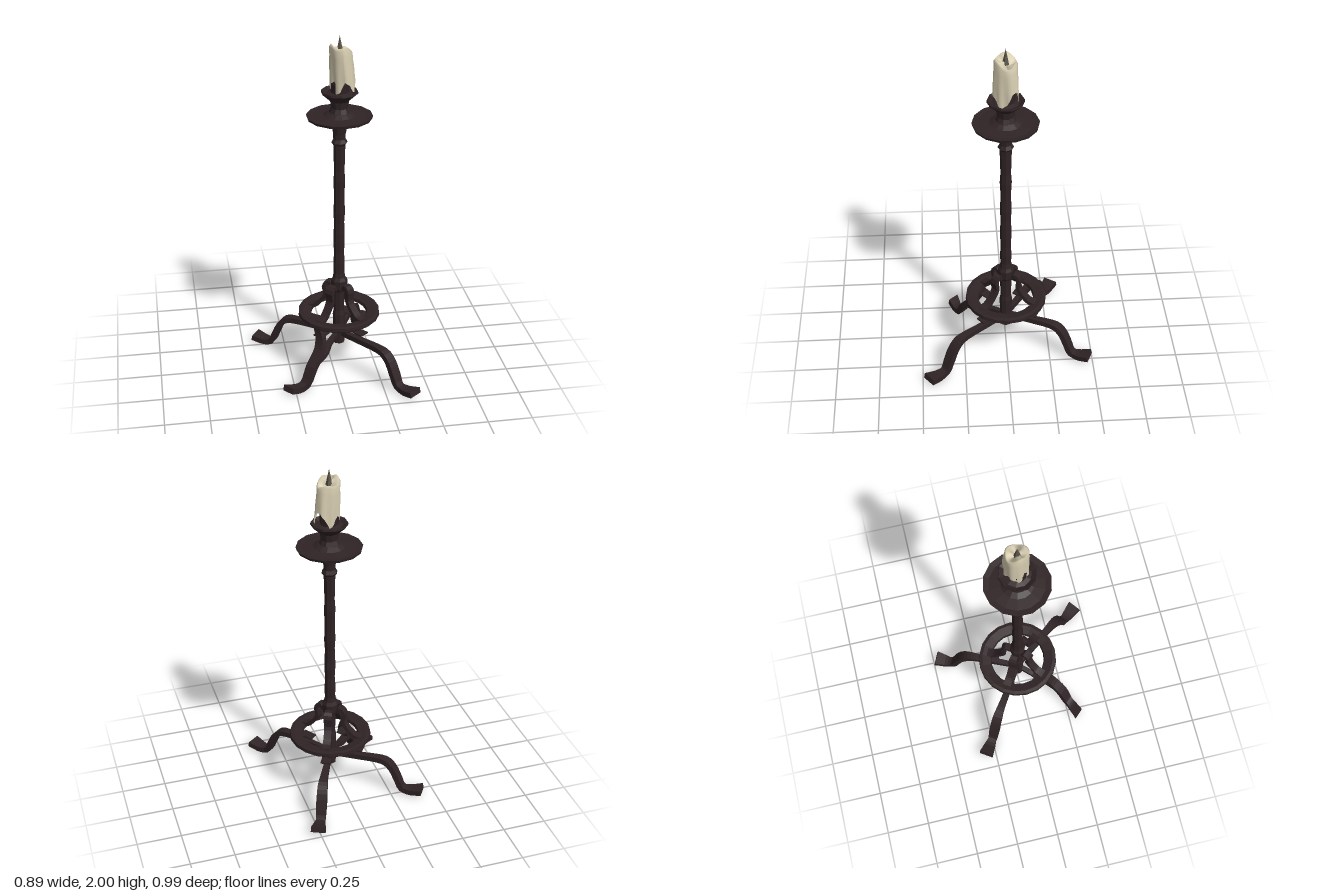
import * as THREE from 'three';

const CX = 0.045; // axis of the stand

export function createModel() {
  const model = new THREE.Group();
  model.name = 'candlestick';
  const iron = new THREE.MeshStandardMaterial({ color: 0x2f2325, flatShading: true, side: THREE.DoubleSide });
  iron.name = 'dark iron';
  const wax = new THREE.MeshStandardMaterial({ color: 0xd6ccb0, side: THREE.DoubleSide });
  wax.name = 'cream wax';
  const wickMat = new THREE.MeshStandardMaterial({ color: 0x5a5448, flatShading: true });
  wickMat.name = 'burnt wick';

  const add = (name, geometry, material = iron) => {
    const mesh = new THREE.Mesh(geometry, material);
    mesh.name = name;
    model.add(mesh);
    return mesh;
  };
  const turned = (name, profile, sides) => {
    const g = new THREE.LatheGeometry(profile.map(([r, y]) => new THREE.Vector2(r, y)), sides);
    return add(name, g.translate(CX, 0, 0));
  };

  // Hammered flat bar swept along a path; widths are spread along its length
  const bar = (name, points, widths, thick, steps = 16) => {
    const curve = new THREE.CatmullRomCurve3(points.map((p) => new THREE.Vector3(...p)), false, 'centripetal');
    const first = curve.points[0], last = curve.points[points.length - 1];
    const side = new THREE.Vector3(last.x - first.x, 0, last.z - first.z).normalize().cross(new THREE.Vector3(0, 1, 0));
    const pos = [], index = [];
    for (let i = 0; i <= steps; i++) {
      const t = i / steps;
      const p = curve.getPoint(t);
      const n = side.clone().cross(curve.getTangent(t)).normalize();
      const f = t * (widths.length - 1), k = Math.min(Math.floor(f), widths.length - 2);
      const w = THREE.MathUtils.lerp(widths[k], widths[k + 1], f - k) / 2;
      for (const [a, b] of [[1, 1], [1, -1], [-1, -1], [-1, 1]]) {
        const v = p.clone().addScaledVector(side, a * w).addScaledVector(n, b * thick / 2);
        pos.push(v.x, v.y, v.z);
      }
      if (i === steps) break;
      for (let j = 0; j < 4; j++) {
        const a = i * 4 + j, b = i * 4 + (j + 1) % 4;
        index.push(a, b, b + 4, a, b + 4, a + 4);
      }
    }
    const e = steps * 4;
    index.push(0, 3, 2, 0, 2, 1, e, e + 1, e + 2, e, e + 2, e + 3);
    const g = new THREE.BufferGeometry();
    g.setAttribute('position', new THREE.Float32BufferAttribute(pos, 3));
    g.setIndex(index);
    g.computeVertexNormals();
    return add(name, g);
  };

  // Three arched legs
  const legProfile = [[0, 0.205], [0.3, 0.21], [0.52, 0.213], [0.61, 0.203], [0.68, 0.165], [0.74, 0.095], [0.79, 0.035], [0.87, 0.025], [1, 0.042]];
  for (const [x, z] of [[0.265, -0.48], [-0.42, -0.31], [0.405, 0.465]]) {
    bar('leg', legProfile.map(([f, y]) => [CX + (x - CX) * f, y, z * f]), [0.025, 0.04, 0.055, 0.06, 0.05, 0.085], 0.032, 20);
  }
  // Bent fourth leg hanging from the ring, with its brace
  bar('bentLeg', [[-0.1, 0.34, 0.13], [-0.085, 0.27, 0.15], [-0.095, 0.2, 0.18], [-0.15, 0.12, 0.235], [-0.19, 0.035, 0.265], [-0.23, 0.022, 0.285], [-0.295, 0.035, 0.31]],
    [0.045, 0.055, 0.06, 0.05, 0.07], 0.035, 18);
  bar('bentLegBrace', [[CX, 0.205, 0], [-0.02, 0.185, 0.08], [-0.06, 0.15, 0.14], [-0.13, 0.14, 0.215]], [0.025, 0.035, 0.05], 0.025, 8);

  // Lower post and flat ring
  turned('lowerPost', [[0, 0.14], [0.034, 0.14], [0.036, 0.33], [0.03, 0.36]], 8);
  turned('baseRing', [[0.225, 0.325], [0.236, 0.335], [0.234, 0.355], [0.215, 0.358], [0.165, 0.348], [0.16, 0.33], [0.225, 0.325]], 20);

  // Scroll struts from the collar to the ring, and small plates below
  for (const [x, z] of [[0.42, -0.9], [-0.83, -0.56], [-0.73, 0.68], [0.62, 0.78]]) {
    const path = [[0.04, 0.5], [0.062, 0.525], [0.086, 0.5], [0.08, 0.44], [0.11, 0.39], [0.145, 0.355], [0.185, 0.345]];
    bar('strut', path.map(([r, y]) => [CX + x * r, y, z * r]), [0.035, 0.05, 0.042, 0.05], 0.022, 14);
    bar('underPlate', [[CX + x * 0.12, 0.26, z * 0.12], [CX + x * 0.2, 0.262, z * 0.2]], [0.05, 0.06], 0.008, 2);
  }

  // Column with a slightly hammered outline
  const column = [[0.03, 0.34], [0.034, 0.48], [0.044, 0.5], [0.046, 0.55], [0.036, 0.57]];
  for (let i = 0; i <= 12; i++) column.push([0.031 + 0.0025 * Math.sin(i * 2.3), 0.6 + i * 0.063]);
  column.push([0.034, 1.385], [0.045, 1.4], [0.034, 1.42], [0.035, 1.45]);
  turned('column', column, 8);

  // Drip dish and candle cup
  turned('dripDish', [[0.035, 1.45], [0.042, 1.49], [0.06, 1.515], [0.12, 1.53], [0.178, 1.542], [0.182, 1.556], [0.15, 1.552], [0.09, 1.558], [0.06, 1.575], [0, 1.575]], 14);
  turned('candleCup', [[0.06, 1.57], [0.047, 1.6], [0.052, 1.64], [0.085, 1.67], [0.102, 1.685], [0.1, 1.696], [0.075, 1.682], [0.05, 1.69], [0.052, 1.74], [0.04, 1.78], [0, 1.78]], 10);

  // Wax with an uneven rim and dripping lower edge
  const drips = [1.76, 1.74, 1.70, 1.69, 1.71, 1.77, 1.78, 1.74, 1.69, 1.71, 1.75, 1.72, 1.69, 1.73, 1.69, 1.70];
  const rows = [[0.068, 0], [0.066, 0.25], [0.066, 0.5], [0.062, 0.75], [0.062, 0.94], [0.054, 1], [0.04, 0.93], [0, 0.9]];
  const body = new THREE.LatheGeometry(rows.map(([r, y]) => new THREE.Vector2(r, y)), 32);
  const p = body.attributes.position;
  for (let i = 0; i < p.count; i++) {
    const a = Math.floor(i / rows.length) % 32;
    const phi = a / 32 * Math.PI * 2;
    const low = (drips[a >> 1] + drips[((a + 1) >> 1) % 16]) / 2;
    const high = 1.935 - 0.018 * Math.sin(phi - 0.6) + 0.008 * Math.sin(3 * phi);
    const t = p.getY(i);
    const swell = 1 + 0.06 * Math.sin(3 * phi + 1 + t) + (1 - t) * 0.07 * Math.sin(8 * phi);
    const lean = 0.012 * (1 - Math.min(t, 1));
    p.setXYZ(i, CX + 0.006 + lean + p.getX(i) * swell, low + (high - low) * t, p.getZ(i) * swell - 0.003);
  }
  body.computeVertexNormals();
  add('candle', body, wax);

  // Wick
  add('wick', new THREE.ConeGeometry(0.02, 0.09, 5).translate(CX, 1.955, 0), wickMat);

  return model;
}
